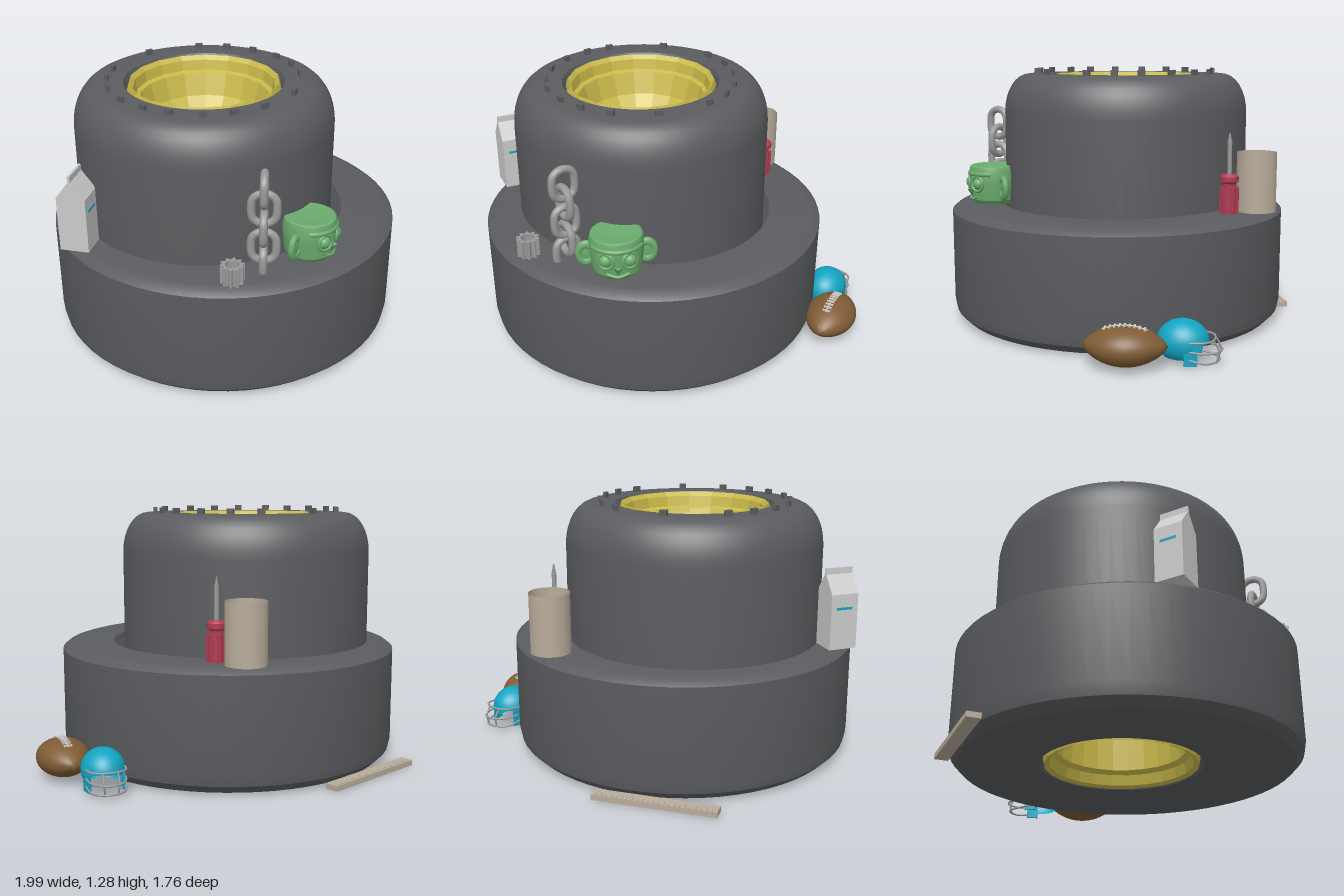
import * as THREE from 'three';
import { toCreasedNormals } from 'three/addons/utils/BufferGeometryUtils.js';

const mat = (color, flatShading = false) =>
  new THREE.MeshStandardMaterial({ color, flatShading, side: THREE.DoubleSide });
const RUBBER = mat(0x5a5c5f), YELLOW = mat(0xc9b94a, true), GREEN = mat(0x6bab6e), RED = mat(0xb03a52),
  BEIGE = mat(0xb8ab9a), BROWN = mat(0x7f5c34), BLUE = mat(0x12a5c2), PAPER = mat(0xcccccc), STEEL = mat(0x9a9a9a);

function add(parent, name, geometry, material, x = 0, y = 0, z = 0) {
  const mesh = new THREE.Mesh(geometry, material);
  mesh.name = name;
  mesh.position.set(x, y, z);
  parent.add(mesh);
  return mesh;
}
function group(parent, name, x, y, z, turn = 0) {
  const g = new THREE.Group();
  g.name = name;
  g.position.set(x, y, z);
  g.rotation.y = turn;
  parent.add(g);
  return g;
}
const v3 = (p) => new THREE.Vector3(...p);
const lathe = (pts, sides, crease = 0.5) =>
  toCreasedNormals(new THREE.LatheGeometry(pts.map((p) => new THREE.Vector2(...p)), sides), crease);
const tube = (pts, r, closed = false, n = 24) =>
  new THREE.TubeGeometry(new THREE.CatmullRomCurve3(pts.map(v3), closed), n, r, 8, closed);

// Star-shaped prism standing on y = 0, with an optional round hole
function starPrism(teeth, rOut, rIn, height, hole = 0) {
  const shape = new THREE.Shape();
  for (let i = 0; i < teeth * 4; i++) {
    const a = (i / (teeth * 4)) * Math.PI * 2, r = i % 4 < 2 ? rOut : rIn;
    shape[i ? 'lineTo' : 'moveTo'](r * Math.cos(a), r * Math.sin(a));
  }
  if (hole) shape.holes.push(new THREE.Path().absarc(0, 0, hole, 0, Math.PI * 2, true));
  return new THREE.ExtrudeGeometry(shape, { depth: height, bevelEnabled: false }).rotateX(-Math.PI / 2);
}

function addTires(root) {
  // Wide lower tire with bevelled edges
  add(root, 'lowerTire', lathe([[0.45, 0.01], [0.81, 0.01], [0.85, 0.05], [0.86, 0.1], [0.86, 0.56],
    [0.835, 0.58], [0.8, 0.59], [0.6, 0.59]], 64), RUBBER, -0.105, 0, 0.02);

  // Tall inner tire with rounded shoulders
  const g = group(root, 'upperWheel', -0.178, 0, -0.038);
  const profile = [[0.37, 0.04], [0.39, 0]];
  for (let i = 0; i <= 8; i++) {
    const a = (i / 8) * Math.PI / 2;
    profile.push([0.51 + 0.127 * Math.sin(a), 0.2 - 0.2 * Math.cos(a)]);
  }
  const upper = profile.map(([r, y]) => [r, 1.25 - y]).reverse();
  add(g, 'upperTire', lathe([...profile, ...upper], 64), RUBBER);

  // Rim: bowl and hub above, deep barrel below
  add(g, 'rimBowl', lathe([[0.045, 0.4], [0.045, 1.05], [0.07, 1.05], [0.075, 1.01], [0.11, 1.01], [0.115, 1.03],
    [0.14, 1.02], [0.15, 0.95], [0.2, 0.96], [0.28, 1.06], [0.315, 1.17], [0.335, 1.18], [0.345, 1.23],
    [0.365, 1.25], [0.375, 1.22]], 18), YELLOW);
  add(g, 'rimBarrel', lathe([[0.375, 0.03], [0.37, 0], [0.345, 0.01], [0.33, 0.06], [0.31, 0.08], [0.29, 0.5],
    [0.13, 0.5], [0.12, 0.4], [0.045, 0.4]], 24), YELLOW);
  for (let i = 0; i < 5; i++) {
    const spoke = group(g, 'rimSpoke', 0, 0, 0, (i / 5) * Math.PI * 2);
    add(spoke, 'spokeBlock', new THREE.BoxGeometry(0.1, 0.14, 0.17), YELLOW, 0, 0.43, 0.2);
  }

  // Raised marks around the top sidewall
  const marks = [2, 36, 54, 72, 91, 107, 124, 157, 184, 203, 220, 239, 255, 273, 292, 310, 326];
  for (const deg of marks) {
    const a = THREE.MathUtils.degToRad(deg);
    add(g, 'sidewallMark', new THREE.BoxGeometry(0.035, 0.04, 0.018), RUBBER,
      0.47 * Math.sin(a), 1.257, -0.47 * Math.cos(a)).rotation.y = -a;
  }
}

function addCarton(root) {
  const g = group(root, 'milkCarton', -0.905, 0.59, -0.09, 0.63);
  const w = 0.07, h = 0.27;
  add(g, 'cartonBody', new THREE.BoxGeometry(2 * w, h, 2 * w), PAPER, 0, h / 2, 0);
  const gable = new THREE.Shape([[-w, 0], [w, 0], [0.006, 0.085], [0.006, 0.115], [-0.006, 0.115], [-0.006, 0.085]]
    .map((p) => new THREE.Vector2(...p)));
  add(g, 'cartonGable', new THREE.ExtrudeGeometry(gable, { depth: 2 * w, bevelEnabled: false })
    .translate(0, 0, -w).rotateY(Math.PI / 2), PAPER, 0, h, 0);
  for (const s of [-1, 1])
    add(g, 'cartonLabel', new THREE.BoxGeometry(0.08, 0.012, 0.004), BLUE, 0, 0.2, s * w);
}

function addChain(root) {
  const g = group(root, 'chain', -0.39, 0, 0.625);
  // Oval link with straight sides
  const pts = [];
  for (let i = 0; i < 16; i++) {
    const a = ((i + 0.5) / 16) * Math.PI * 2;
    pts.push([0.056 * Math.cos(a), 0.048 * Math.sin(a) + 0.026 * Math.sign(Math.sin(a)), 0]);
  }
  const link = tube(pts, 0.019, true, 40);
  [0.98, 0.885, 0.79, 0.695, 0.625].forEach((y, i) => {
    add(g, 'chainLink', link, STEEL, 0, y, 0).rotation.y = (i % 2 ? -1 : 1) * Math.PI / 4;
  });
}

function addMug(root) {
  const g = group(root, 'faceMug', -0.14, 0.59, 0.665, 0.3);
  add(g, 'mugBody', lathe([[0, 0], [0.1, 0], [0.115, 0.02], [0.125, 0.1], [0.128, 0.16], [0.12, 0.19],
    [0.11, 0.195], [0, 0.18]], 32), GREEN);
  add(g, 'brow', new THREE.TorusGeometry(0.121, 0.013, 8, 24, Math.PI * 0.7)
    .rotateX(Math.PI / 2).rotateY(-Math.PI * 0.15), GREEN, 0, 0.155, 0);
  for (const s of [-1, 1]) {
    add(g, 'eye', new THREE.SphereGeometry(0.032, 16, 12), GREEN, s * 0.055, 0.105, 0.1);
    add(g, 'eyeRing', new THREE.TorusGeometry(0.038, 0.008, 8, 24), GREEN, s * 0.055, 0.105, 0.11).rotation.y = s * 0.45;
    // Ears with a rounded rim
    const ear = add(g, 'ear', new THREE.TorusGeometry(0.035, 0.016, 10, 24), GREEN, s * 0.14, 0.09, 0);
    ear.scale.y = 1.3;
    add(g, 'earCentre', new THREE.SphereGeometry(0.037, 16, 10), GREEN, s * 0.14, 0.09, 0).scale.set(1, 1.3, 0.3);
  }
  const nose = add(g, 'nose', new THREE.ConeGeometry(0.024, 0.04, 4), GREEN, 0, 0.055, 0.12);
  nose.rotation.x = Math.PI;
  add(g, 'mouth', tube([[-0.05, 0.035, 0.108], [0, 0.025, 0.122], [0.05, 0.035, 0.108]], 0.007), GREEN);
}

function addScrewdriver(root) {
  const g = group(root, 'screwdriver', 0.41, 0.59, -0.44);
  add(g, 'handleGrip', starPrism(6, 0.047, 0.037, 0.13), RED);
  add(g, 'handleNeck', lathe([[0.03, 0.12], [0.03, 0.145], [0.045, 0.155], [0.045, 0.18], [0.035, 0.19], [0, 0.19]], 18), RED);
  add(g, 'shaft', new THREE.CylinderGeometry(0.011, 0.011, 0.16, 12), STEEL, 0, 0.27, 0);
  add(g, 'tip', new THREE.CylinderGeometry(0.003, 0.013, 0.05, 4), STEEL, 0, 0.365, 0);
}

function addFootball(root) {
  const g = group(root, 'football', 0.857, 0.105, 0.155, -0.3);
  const L = 0.19, R = 0.125, flat = 0.72;
  const pts = [];
  for (let i = 0; i <= 20; i++) {
    const t = -1 + i / 10;
    pts.push([R * Math.pow(Math.max(0, 1 - t * t), 0.75), t * L]);
  }
  add(g, 'ballSkin', lathe(pts, 32, 1).rotateX(Math.PI / 2), BROWN).scale.y = flat;
  const topAt = (z) => R * flat * Math.pow(1 - (z / L) ** 2, 0.75);
  const line = [-0.1, -0.05, 0, 0.05, 0.1].map((z) => [0, topAt(z) + 0.001, z]);
  add(g, 'laceSeam', tube(line, 0.004), PAPER);
  for (let i = -4; i <= 4; i++)
    add(g, 'lace', new THREE.BoxGeometry(0.04, 0.008, 0.008), PAPER, 0, topAt(i * 0.022) + 0.001, i * 0.022);
}

function addHelmet(root) {
  const g = group(root, 'helmet', 0.82, 0.1, -0.115, 2.75);
  // Shell: full dome above, cheeks and back below with the face left open
  const half = Math.PI / 2, open = 0.95;
  const shell = group(g, 'helmetShell', 0, 0, 0);
  add(shell, 'dome', new THREE.SphereGeometry(0.105, 32, 12, 0, Math.PI * 2, 0, half), BLUE);
  add(shell, 'backAndCheeks', new THREE.SphereGeometry(0.105, 32, 10, half + open, Math.PI * 2 - 2 * open, half, 0.75), BLUE);
  shell.scale.set(0.97, 0.95, 1.12);
  for (const s of [-1, 1]) {
    add(g, 'jawFlap', new THREE.BoxGeometry(0.012, 0.085, 0.06), BLUE, s * 0.085, -0.045, 0.045).rotation.y = s * -0.2;
    add(g, 'maskUpright', tube([[s * 0.035, 0.02, 0.14], [s * 0.035, -0.03, 0.165], [s * 0.03, -0.075, 0.155]], 0.0045), STEEL);
  }
  // Face mask bars
  for (const [y, reach] of [[0.02, 0.145], [-0.03, 0.172], [-0.075, 0.162]])
    add(g, 'maskBar', tube([[-0.09, y * 0.8, 0.04], [-0.08, y, 0.11], [-0.035, y, reach - 0.005], [0.035, y, reach - 0.005],
      [0.08, y, 0.11], [0.09, y * 0.8, 0.04]], 0.005), STEEL);
}

export function createModel() {
  const root = new THREE.Group();
  root.name = 'tireStack';
  addTires(root);
  addCarton(root);
  addChain(root);
  addMug(root);
  addScrewdriver(root);
  addFootball(root);
  addHelmet(root);
  // Small toothed ring
  add(root, 'gear', starPrism(10, 0.055, 0.042, 0.09, 0.032), STEEL, -0.58, 0.59, 0.63);
  // Open tin
  add(root, 'can', new THREE.CylinderGeometry(0.097, 0.097, 0.29, 40, 1, true), BEIGE, 0.37, 0.735, -0.59);
  // Ruler lying on the ground, with tick marks
  const ruler = group(root, 'ruler', -0.225, 0, -0.847);
  add(ruler, 'rulerStick', new THREE.BoxGeometry(0.59, 0.026, 0.066), BEIGE, 0, 0.015, 0);
  for (let i = 1; i < 24; i++) {
    const len = i % 2 ? 0.015 : 0.028;
    add(ruler, 'rulerTick', new THREE.BoxGeometry(0.003, 0.002, len), STEEL, -0.295 + i * 0.0246, 0.0285, -0.033 + len / 2);
  }
  return root;
}
